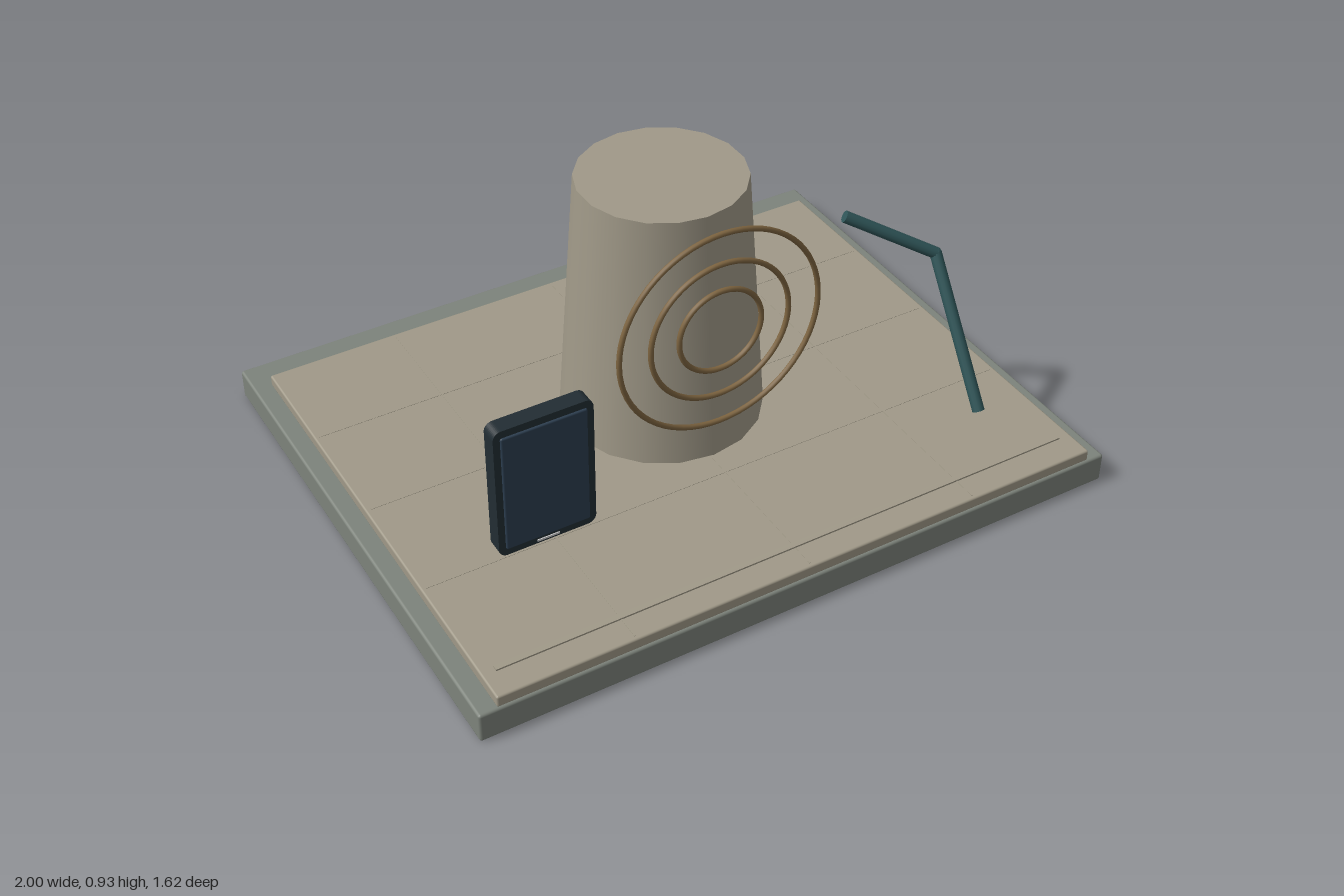
import * as THREE from 'three';
import { RoundedBoxGeometry } from 'three/addons/geometries/RoundedBoxGeometry.js';

const material = (color) => new THREE.MeshStandardMaterial({ color });
const stone = material(0x7d837b);
const sand = material(0xa09988);
const bronze = material(0x7d6440);
const teal = material(0x2f5558);
const dark = material(0x222d33);
const glass = material(0x2c3e50);
const silver = material(0xcccccc);

export function createModel() {
  const model = new THREE.Group();

  const add = (name, geometry, mat, x = 0, y = 0, z = 0, parent = model) => {
    const mesh = new THREE.Mesh(geometry, mat);
    mesh.name = name;
    mesh.position.set(x, y, z);
    parent.add(mesh);
    return mesh;
  };
  const box = (w, h, d, r) => new RoundedBoxGeometry(w, h, d, 2, r);

  // Stepped platform with a raised strip along its front edge
  add('base', box(2, 0.092, 1.62, 0.008), stone, 0, 0.046, 0);
  add('floorSlab', box(1.89, 0.036, 1.505, 0.006), sand, 0, 0.109, 0.052);
  add('frontStrip', new THREE.BoxGeometry(1.81, 0.008, 0.018), sand, 0, 0.128, 0.713);

  // Fine seams dividing the floor into tiles
  const seams = new THREE.Group();
  seams.name = 'floorSeams';
  model.add(seams);
  for (const x of [-0.54, 0, 0.54])
    add('seam', new THREE.BoxGeometry(0.004, 0.002, 1.48), sand, x, 0.127, 0.052, seams);
  for (const z of [-0.36, 0, 0.36])
    add('seam', new THREE.BoxGeometry(1.86, 0.002, 0.004), sand, 0, 0.127, z, seams);

  // Tapered column hovering just above the floor
  add('column', new THREE.CylinderGeometry(0.243, 0.298, 0.78, 18), sand, 0, 0.535, 0);

  // Concentric rings in front of the column
  const rings = new THREE.Group();
  rings.name = 'rings';
  rings.position.set(0, 0.6, 0.318);
  model.add(rings);
  for (const radius of [0.13, 0.218, 0.315])
    add('ring', new THREE.TorusGeometry(radius, 0.008, 10, 64), bronze, 0, 0, 0, rings);

  // Upright tablet
  const tablet = new THREE.Group();
  tablet.name = 'tablet';
  tablet.position.set(-0.605, 0.428, 0.418);
  model.add(tablet);
  const [w, h, r] = [0.145, 0.21, 0.025];
  const outline = new THREE.Shape();
  outline.moveTo(-w + r, -h);
  outline.lineTo(w - r, -h).absarc(w - r, -h + r, r, -Math.PI / 2, 0);
  outline.lineTo(w, h - r).absarc(w - r, h - r, r, 0, Math.PI / 2);
  outline.lineTo(-w + r, h).absarc(-w + r, h - r, r, Math.PI / 2, Math.PI);
  outline.lineTo(-w, -h + r).absarc(-w + r, -h + r, r, Math.PI, Math.PI * 1.5);
  const body = new THREE.ExtrudeGeometry(outline, { depth: 0.05, bevelEnabled: false, curveSegments: 5 });
  add('tabletBody', body, dark, 0, 0, -0.025, tablet);
  add('tabletScreen', box(0.25, 0.375, 0.012, 0.005), glass, 0, 0, 0.025, tablet);
  add('tabletBar', new THREE.BoxGeometry(0.065, 0.006, 0.006), silver, 0, -0.2, 0.025, tablet);

  // Bent rod standing clear of the floor
  const rod = new THREE.Group();
  rod.name = 'bentRod';
  model.add(rod);
  const joints = [[0.5, 0.713, 0.167], [0.745, 0.572, 0.283], [0.745, 0.172, 0.543]]
    .map((p) => new THREE.Vector3(...p));
  const up = new THREE.Vector3(0, 1, 0);
  for (let i = 0; i < 2; i++) {
    const span = joints[i + 1].clone().sub(joints[i]);
    const middle = joints[i].clone().addScaledVector(span, 0.5);
    const part = add('rodSegment', new THREE.CylinderGeometry(0.018, 0.018, span.length(), 12), teal,
      ...middle.toArray(), rod);
    part.quaternion.setFromUnitVectors(up, span.normalize());
  }
  add('rodElbow', new THREE.SphereGeometry(0.018, 12, 8), teal, ...joints[1].toArray(), rod);

  return model;
}
